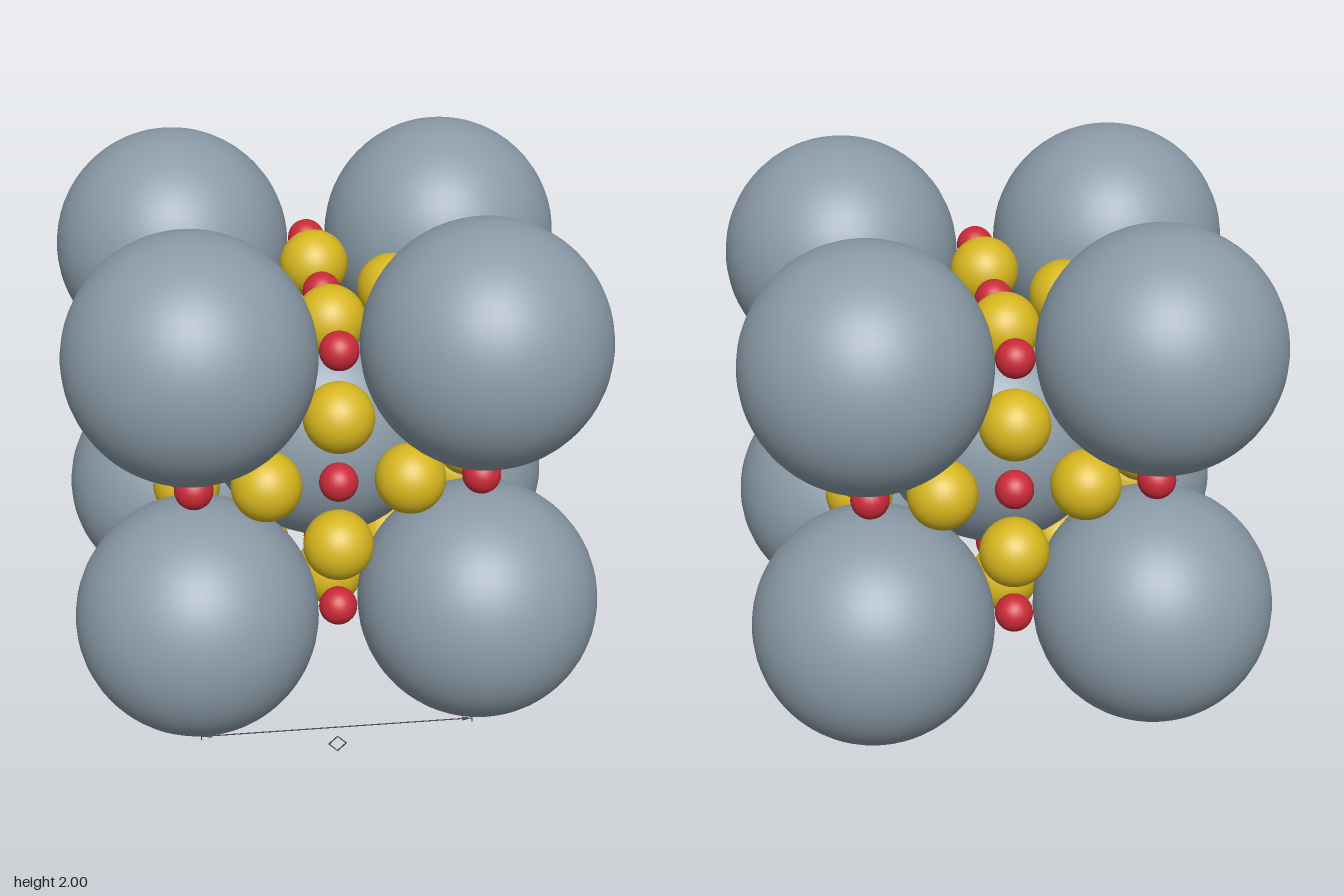
import * as THREE from 'three';

export function createModel() {
  const model = new THREE.Group();
  model.name = 'crystalCell';
  const mat = (name, color) => {
    const m = new THREE.MeshStandardMaterial({ color });
    m.name = name;
    return m;
  };
  const grey = mat('steel grey', 0x8b9ba8);
  const yellow = mat('yellow', 0xd6b61e);
  const red = mat('red', 0xc92a38);
  const dark = mat('dark line', 0x3a3a3a);

  const H = 0.485; // half the cell edge
  const Q = H / 2;
  const CY = 1.1; // height of the cell centre

  const add = (parent, name, geometry, material, x, y, z) => {
    const mesh = new THREE.Mesh(geometry, material);
    mesh.name = name;
    mesh.position.set(x, y, z);
    parent.add(mesh);
    return mesh;
  };

  // Atoms sit around the cell centre
  const cell = new THREE.Group();
  cell.name = 'atoms';
  cell.position.y = CY;
  model.add(cell);
  const bigBall = new THREE.SphereGeometry(0.415, 48, 32);
  const midBall = new THREE.SphereGeometry(0.12, 32, 20);
  const smallBall = new THREE.SphereGeometry(0.066, 24, 16);

  // Large atoms: eight corners and the body centre
  add(cell, 'centreAtom', bigBall, grey, 0, 0, 0);
  for (const x of [-H, H]) for (const y of [-H, H]) for (const z of [-H, H])
    add(cell, 'cornerAtom', bigBall, grey, x, y, z);

  for (let axis = 0; axis < 3; axis++) {
    const b = (axis + 1) % 3, c = (axis + 2) % 3;
    const place = (name, geometry, material, u, v, w) => {
      const p = [0, 0, 0];
      p[axis] = u; p[b] = v; p[c] = w;
      add(cell, name, geometry, material, ...p);
    };
    for (const s of [-1, 1]) {
      // Each face: a small centre atom ringed by four medium atoms
      place('faceAtom', smallBall, red, s * H, 0, 0);
      for (const t of [-1, 1]) {
        place('ringAtom', midBall, yellow, s * H, t * Q, 0);
        place('ringAtom', midBall, yellow, s * H, 0, t * Q);
        // Small atoms at the middle of each edge
        place('edgeAtom', smallBall, red, 0, s * H, t * H);
      }
    }
  }

  // Dimension line below the front edge
  const dimension = new THREE.Group();
  dimension.name = 'dimensionLine';
  dimension.position.z = H;
  model.add(dimension);
  const lineY = 0.105, lineR = 0.002;
  const bar = add(dimension, 'line', new THREE.CylinderGeometry(lineR, lineR, 2 * H, 6), dark, 0, lineY, 0);
  bar.rotation.z = Math.PI / 2;
  for (const s of [-1, 1]) {
    add(dimension, 'extensionLine', new THREE.CylinderGeometry(lineR, lineR, 0.12, 6), dark, s * H, 0.15, 0);
    const tip = add(dimension, 'arrowHead', new THREE.ConeGeometry(0.007, 0.035, 8), dark, s * (H - 0.0175), lineY, 0);
    tip.rotation.z = -s * Math.PI / 2;
  }
  // Plain diamond marker under the line
  add(dimension, 'marker', new THREE.TorusGeometry(0.031, 0.003, 6, 4), dark, 0, 0.034, 0);

  return model;
}
